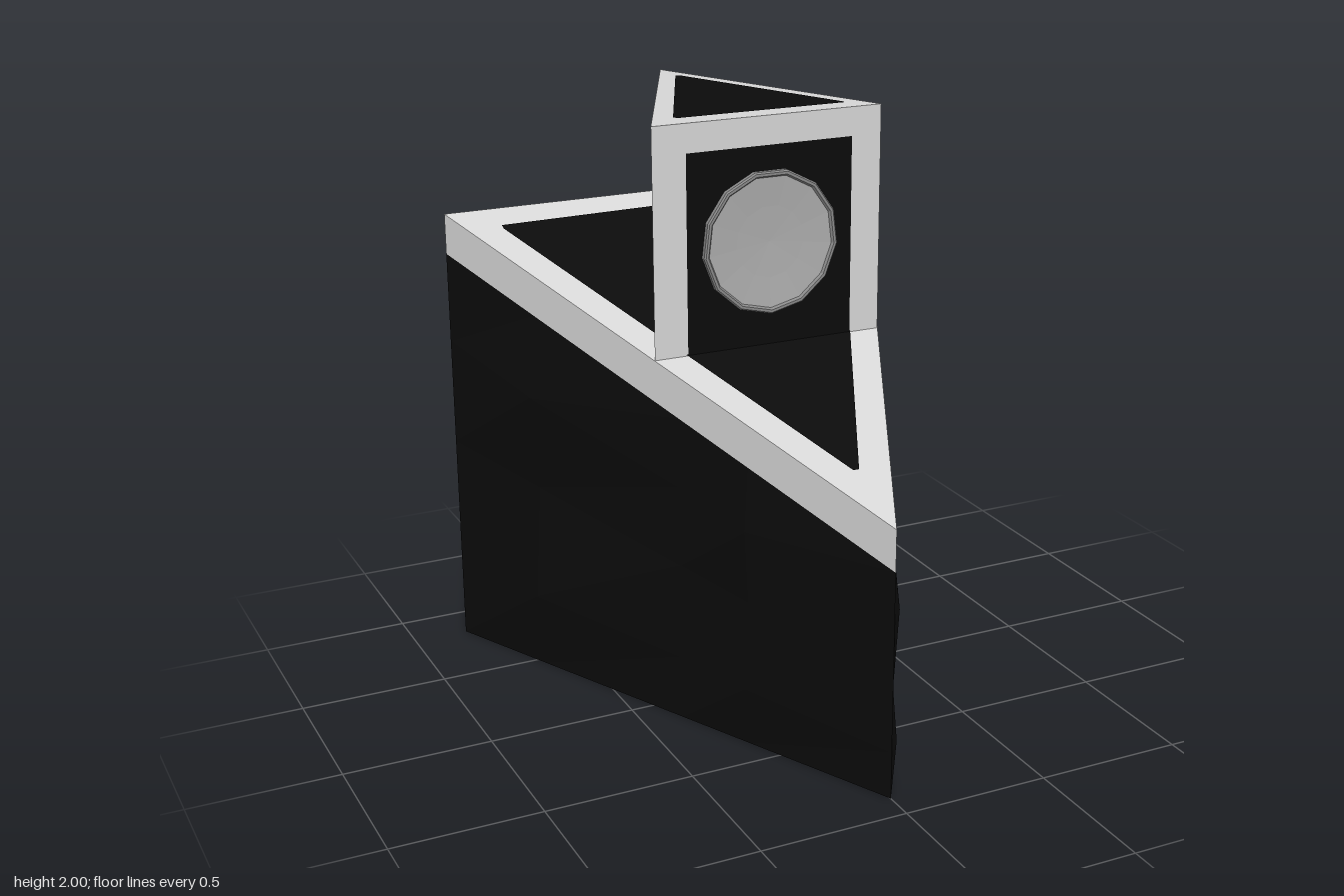
import * as THREE from 'three';

const mat = (name, color) => {
  const m = new THREE.MeshStandardMaterial({ color, flatShading: true });
  m.name = name;
  return m;
};

// Height of the sloping roof at depth z
const roofY = (z) => 0.91 + (0.9 - z) * 0.3804;
const BAND = 0.14;

function meshFrom(name, triangles, material) {
  const g = new THREE.BufferGeometry();
  g.setAttribute('position', new THREE.Float32BufferAttribute(triangles.flat(2), 3));
  g.computeVertexNormals();
  const m = new THREE.Mesh(g, material);
  m.name = name;
  return m;
}

const quad = (a, b, c, d) => [[a, b, c], [a, c, d]];

// Triangular prism; outline [x, z] runs counter-clockwise seen from above
function prism(name, outline, bottom, top, material) {
  const lo = outline.map(([x, z]) => [x, bottom(z), z]);
  const hi = outline.map(([x, z]) => [x, top(z), z]);
  const tris = [[hi[0], hi[1], hi[2]], [lo[2], lo[1], lo[0]]];
  for (let i = 0; i < 3; i++) {
    const j = (i + 1) % 3;
    tris.push(...quad(lo[i], lo[j], hi[j], hi[i]));
  }
  return meshFrom(name, tris, material);
}

// Flat convex panel, lifted slightly off the face it lies on
function plate(name, points, facing, material) {
  const n = new THREE.Vector3(...facing).normalize().multiplyScalar(0.004);
  const p = points.map(([x, y, z]) => [x + n.x, y + n.y, z + n.z]);
  const v = p.map((q) => new THREE.Vector3(...q));
  const normal = v[1].clone().sub(v[0]).cross(v[2].clone().sub(v[0]));
  if (normal.dot(n) < 0) p.reverse();
  const tris = [];
  for (let i = 1; i < p.length - 1; i++) tris.push([p[0], p[i], p[i + 1]]);
  return meshFrom(name, tris, material);
}

// Wall from P to Q with gentle outward bumps at given columns [u, bump]
function bumpyWall(name, P, Q, columns, material) {
  const rows = [[0, 0], [0.21, 1], [0.52, 0], [0.78, 1], [1, 0]];
  const dx = Q[0] - P[0], dz = Q[1] - P[1], len = Math.hypot(dx, dz);
  const grid = columns.map(([u, bump]) => rows.map(([v, k]) => {
    const x = P[0] + dx * u, z = P[1] + dz * u;
    const d = (bump * k) / len;
    return [x - dz * d, v * (roofY(z) - BAND), z + dx * d];
  }));
  const tris = [];
  for (let i = 0; i < columns.length - 1; i++) {
    for (let j = 0; j < rows.length - 1; j++) {
      tris.push(...quad(grid[i][j], grid[i + 1][j], grid[i + 1][j + 1], grid[i][j + 1]));
    }
  }
  return meshFrom(name, tris, material);
}

export function createModel() {
  const model = new THREE.Group();
  model.name = 'wedgeTower';
  const black = mat('black', 0x0b0b0b);
  const frame = mat('paleFrame', 0xd6d6d6);
  const dishGrey = mat('dishGrey', 0xacacac);
  const rimGrey = mat('rimGrey', 0x8a8a8a);

  // Rough dark body on a triangular plan
  const F = [0, 0.9], R = [0.81, -0.835], L = [-0.81, -0.835];
  const body = new THREE.Group();
  body.name = 'body';
  body.add(
    bumpyWall('leftWall', F, R,
      [[0, 0], [0.035, 0.02], [0.41, 0], [0.6, 0.024], [0.75, 0], [0.876, 0.036], [1, 0]], black),
    bumpyWall('backWall', R, L,
      [[0, 0], [0.24, 0.065], [0.55, 0], [0.82, 0.065], [1, 0]], black),
    bumpyWall('rightWall', L, F,
      [[0, 0], [0.215, 0.032], [0.55, 0.004], [0.7, 0.018], [1, 0]], black),
    plate('underside', [F, R, L].map(([x, z]) => [x, 0.004, z]), [0, -1, 0], black),
  );
  model.add(body);

  // Sloping roof slab and its dark inset
  model.add(prism('roofSlab', [F, R, L], (z) => roofY(z) - BAND, roofY, frame));
  const inset = [[-0.64, -0.735], [0.655, -0.755], [0.66, -0.72], [0.01, 0.64], [-0.01, 0.64], [-0.64, -0.715]];
  model.add(plate('roofPanel', inset.map(([x, z]) => [x, roofY(z), z]), [0, 1, 0.38], black));

  // Triangular tower
  const tower = new THREE.Group();
  tower.name = 'tower';
  const A = [-0.405, 0.03], B = [0.405, 0.03], C = [0, -0.835];
  tower.add(prism('towerFrame', [A, B, C], (z) => roofY(z) - 0.02, () => 2, frame));
  tower.add(plate('topPanel',
    [[-0.295, -0.05], [-0.285, -0.035], [0.3, -0.027], [0.303, -0.04], [0.008, -0.685], [-0.008, -0.685]]
      .map(([x, z]) => [x, 2, z]), [0, 1, 0], black));
  tower.add(plate('frontPanel',
    [[-0.29, 1.24], [0.297, 1.24], [0.297, 1.905], [-0.29, 1.905]].map(([x, y]) => [x, y, 0.03]),
    [0, 0, 1], black));
  for (const s of [1, -1]) {
    const at = (z, y) => [s * 0.405 * (z + 0.835) / 0.865, y, z];
    tower.add(plate(s > 0 ? 'leftPanel' : 'rightPanel',
      [at(-0.075, roofY(-0.075)), at(-0.745, roofY(-0.745)), at(-0.745, 1.92), at(-0.075, 1.912)],
      [s * 0.865, 0, -0.405], black));
  }
  model.add(tower);

  // Shallow round dish on the tower front
  const dish = new THREE.Group();
  dish.name = 'dish';
  const lathe = (name, pts, material) => {
    const m = new THREE.Mesh(
      new THREE.LatheGeometry(pts.map(([r, y]) => new THREE.Vector2(r, y)), 13), material);
    m.name = name;
    dish.add(m);
  };
  lathe('dishRim', [[0.24, 0], [0.24, 0.02], [0.235, 0.025], [0.226, 0.025], [0.22, 0.017]], rimGrey);
  lathe('dishFace', [[0.22, 0.017], [0.12, 0.01], [0, 0.006]], dishGrey);
  dish.rotation.x = Math.PI / 2;
  dish.position.set(0, 1.59, 0.03);
  model.add(dish);

  return model;
}
